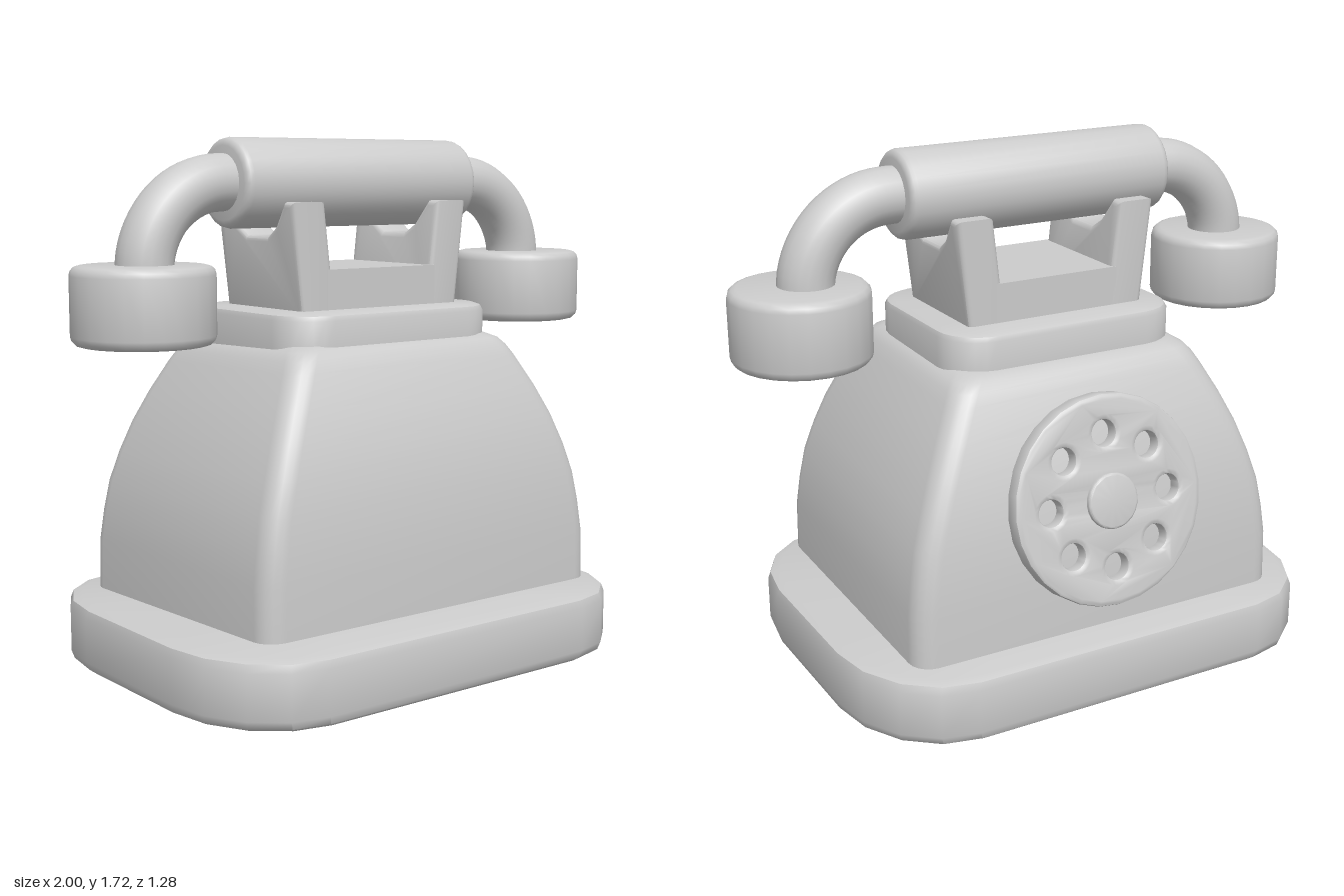
import * as THREE from 'three';
import { toCreasedNormals } from 'three/addons/utils/BufferGeometryUtils.js';

const CX = -0.015; // centre line of the housing
const material = new THREE.MeshStandardMaterial({ color: 0xcccccc });
const thin = new THREE.MeshStandardMaterial({ color: 0xcccccc, side: THREE.DoubleSide });

function add(parent, name, geometry, mat = material) {
  const mesh = new THREE.Mesh(geometry, mat);
  mesh.name = name;
  parent.add(mesh);
  return mesh;
}

// Stack of rounded rectangles, each [y, halfWidth, halfDepth, cornerX, cornerZ]; closed on top
function loft(sections, cornerSteps = 4) {
  const pos = [], index = [];
  const n = 4 * (cornerSteps + 1);
  for (const [y, w, d, rx, rz] of sections) {
    for (let q = 0; q < 4; q++) {
      const sx = q === 0 || q === 3 ? 1 : -1, sz = q < 2 ? 1 : -1;
      for (let i = 0; i <= cornerSteps; i++) {
        const a = (q + i / cornerSteps) * Math.PI / 2;
        pos.push(sx * (w - rx) + rx * Math.cos(a), y, sz * (d - rz) + rz * Math.sin(a));
      }
    }
  }
  for (let s = 0; s < sections.length - 1; s++) {
    for (let j = 0; j < n; j++) {
      const a = s * n + j, b = s * n + (j + 1) % n;
      index.push(a, a + n, b, b, a + n, b + n);
    }
  }
  const last = (sections.length - 1) * n, centre = pos.length / 3;
  pos.push(0, sections[sections.length - 1][0], 0);
  for (let j = 0; j < n; j++) index.push(centre, last + (j + 1) % n, last + j);
  const g = new THREE.BufferGeometry();
  g.setAttribute('position', new THREE.Float32BufferAttribute(pos, 3));
  g.setIndex(index);
  g.computeVertexNormals();
  return g;
}

// Cylinder along y with softened rims
function softCylinder(r, h, bevel, sides = 24) {
  const pts = [new THREE.Vector2(0, -h / 2)];
  for (const s of [-1, 1]) {
    for (let i = 0; i <= 3; i++) {
      const a = (s < 0 ? -1 + i / 3 : i / 3) * Math.PI / 2;
      pts.push(new THREE.Vector2(r - bevel + bevel * Math.cos(a), s * (h / 2 - bevel) + bevel * Math.sin(a)));
    }
  }
  pts.push(new THREE.Vector2(0, h / 2));
  return toCreasedNormals(new THREE.LatheGeometry(pts, sides), 0.75);
}

function circle(x, y, r, Type = THREE.Path) {
  const p = new Type();
  p.absarc(x, y, r, 0, Math.PI * 2, false);
  return p;
}

export function createModel() {
  const model = new THREE.Group();
  model.name = 'telephone';

  // Hollow foot, open underneath
  const foot = [[0.005, 0.815], [0.015, 0.828], [0.04, 0.835], [0.185, 0.835], [0.21, 0.828], [0.22, 0.805]]
    .map(([y, w]) => [y, w, w - 0.197, 0.31, 0.38]);
  add(model, 'base', toCreasedNormals(loft(foot, 4), 0.75), thin).position.x = CX;

  // Curved housing, leaning slightly so that its front edge sits higher
  const housing = [
    [0.235, 0.67, 0.517], [0.4, 0.668, 0.514], [0.5, 0.655, 0.508], [0.6, 0.637, 0.498],
    [0.7, 0.605, 0.482], [0.8, 0.567, 0.458], [0.9, 0.52, 0.425], [1.0, 0.467, 0.384],
    [1.035, 0.446, 0.366], [1.06, 0.425, 0.346], [1.075, 0.395, 0.316], [1.08, 0.36, 0.28],
  ].map(([y, w, d]) => [y, w, d, 0.07, 0.07]);
  const housingGeo = loft(housing, 5);
  const hp = housingGeo.attributes.position;
  for (let i = 0; i < hp.count; i++) hp.setY(i, hp.getY(i) + 0.029 * hp.getZ(i));
  add(model, 'housing', toCreasedNormals(housingGeo, 0.7), thin).position.set(CX, 0, 0.01);

  // Plate under the cradle
  const plate = [[1.05, 0.415], [1.16, 0.415], [1.175, 0.409], [1.183, 0.392]]
    .map(([y, w]) => [y, w, w - 0.098, 0.14, 0.14]);
  add(model, 'topPlate', toCreasedNormals(loft(plate, 6), 0.7), thin).position.set(CX, 0, 0.02);

  // Cradle: a block with a notched, outward-leaning wall at each end
  const cradle = new THREE.Group();
  cradle.name = 'cradle';
  cradle.position.set(CX, 0, 0.018);
  model.add(cradle);
  add(cradle, 'cradleBlock', new THREE.BoxGeometry(0.44, 0.14, 0.42)).position.y = 1.24;
  const b = 0.018;
  const half = [[0.192, 1.17], [0.192, 1.502], [0.17, 1.502], [0.115, 1.43], [0.06, 1.395]];
  const profile = [...half, ...half.slice().reverse().map(([z, y]) => [-z, y])];
  for (const s of [1, -1]) {
    const wall = new THREE.ExtrudeGeometry(
      new THREE.Shape(profile.map(([z, y]) => new THREE.Vector2(z, y))),
      { depth: 0.13 - 2 * b, bevelSize: b, bevelThickness: b, bevelSegments: 3 });
    wall.translate(0, 0, -(0.13 - 2 * b) / 2).rotateY(Math.PI / 2);
    const p = wall.attributes.position;
    for (let i = 0; i < p.count; i++) p.setX(i, p.getX(i) + s * (0.253 + 0.117 * (p.getY(i) - 1.18)));
    add(cradle, s > 0 ? 'leftCradleWall' : 'rightCradleWall', toCreasedNormals(wall, 0.6));
  }

  // Handset: grip, bent necks and round end pieces
  const handset = new THREE.Group();
  handset.name = 'handset';
  handset.position.z = 0.018;
  model.add(handset);
  const grip = add(handset, 'grip', softCylinder(0.142, 0.94, 0.025));
  grip.rotation.z = Math.PI / 2;
  grip.position.set(CX, 1.578, 0);
  for (const s of [1, -1]) {
    const side = s > 0 ? 'left' : 'right';
    const path = new THREE.CatmullRomCurve3([new THREE.Vector3(s * 0.42 - 0.008, 1.58, 0)]);
    for (let i = 0; i <= 8; i++) {
      const a = i / 8 * Math.PI / 2;
      path.points.push(new THREE.Vector3(s * (0.49 + 0.275 * Math.sin(a)) - 0.008, 1.31 + 0.27 * Math.cos(a), 0));
    }
    add(handset, side + 'Neck', new THREE.TubeGeometry(path, 20, 0.09, 20));
    add(handset, side + 'EndPiece', softCylinder(0.222, 0.243, 0.03)).position.set(s * 0.777, 1.213, 0);
  }

  // Tilted dial on the back: backing disc, ring with eight finger holes, raised hub
  const dial = new THREE.Group();
  dial.name = 'dial';
  dial.position.set(CX, 0.66, -0.53);
  dial.lookAt(CX, 0.66 + 0.212, -0.53 - 0.977);
  model.add(dial);
  const face = circle(0, 0, 0.322, THREE.Shape);
  for (let i = 0; i < 8; i++) {
    const a = i * Math.PI / 4;
    face.holes.push(circle(0.215 * Math.cos(a), 0.215 * Math.sin(a), 0.06));
  }
  const ring = new THREE.ExtrudeGeometry(face, {
    depth: 0.045, bevelSize: 0.018, bevelThickness: 0.012, bevelSegments: 3, curveSegments: 14,
    bevelOffset: 0,
  });
  ring.translate(0, 0, -0.057);
  add(dial, 'fingerWheel', toCreasedNormals(ring, 0.6));
  const backing = add(dial, 'dialBacking', softCylinder(0.335, 0.045, 0.01, 28));
  backing.rotation.x = Math.PI / 2;
  backing.position.z = -0.07;
  const hub = add(dial, 'dialHub', softCylinder(0.09, 0.06, 0.008));
  hub.rotation.x = Math.PI / 2;
  hub.position.z = -0.012;

  return model;
}
